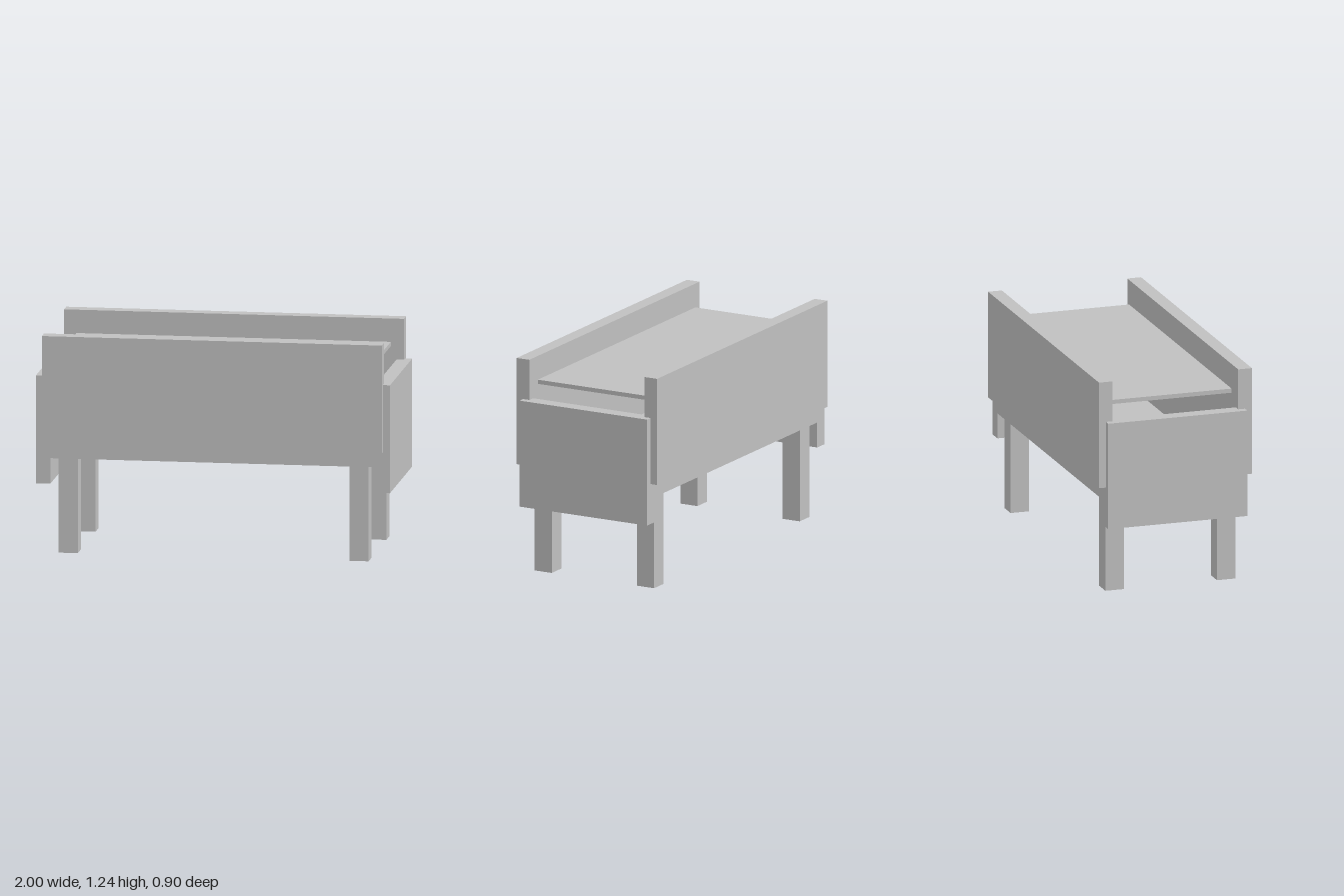
import * as THREE from 'three';

export function createModel() {
  const model = new THREE.Group();
  const grey = new THREE.MeshStandardMaterial({ color: 0xc0c0c0 });
  grey.name = 'light grey';

  // Box given by its extents on each axis
  function box(name, [x0, x1], [y0, y1], [z0, z1]) {
    const mesh = new THREE.Mesh(new THREE.BoxGeometry(x1 - x0, y1 - y0, z1 - z0), grey);
    mesh.position.set((x0 + x1) / 2, (y0 + y1) / 2, (z0 + z1) / 2);
    mesh.name = name;
    model.add(mesh);
  }
  const mirror = (s, a, b) => (s > 0 ? [a, b] : [-b, -a]);

  // Floor of the trough and the raised top panel
  box('basePanel', [-0.92, 0.92], [0.54, 0.622], [-0.41, 0.41]);
  box('topPanel', [-0.888, 0.888], [1.086, 1.11], [-0.356, 0.356]);

  for (const s of [1, -1]) {
    // End panels and the long boards
    box(s > 0 ? 'leftEndPanel' : 'rightEndPanel', mirror(s, 0.918, 1), [0.395, 1.008], [-0.41, 0.41]);
    box(s > 0 ? 'frontBoard' : 'backBoard', [-0.96, 0.96], [0.626, 1.24], mirror(s, 0.37, 0.451));

    // Legs
    for (const t of [1, -1]) {
      box(`${t > 0 ? 'front' : 'back'}${s > 0 ? 'Left' : 'Right'}Leg`,
        mirror(s, 0.767, 0.875), [0, 0.545], mirror(t, 0.274, 0.384));
    }
  }
  return model;
}
